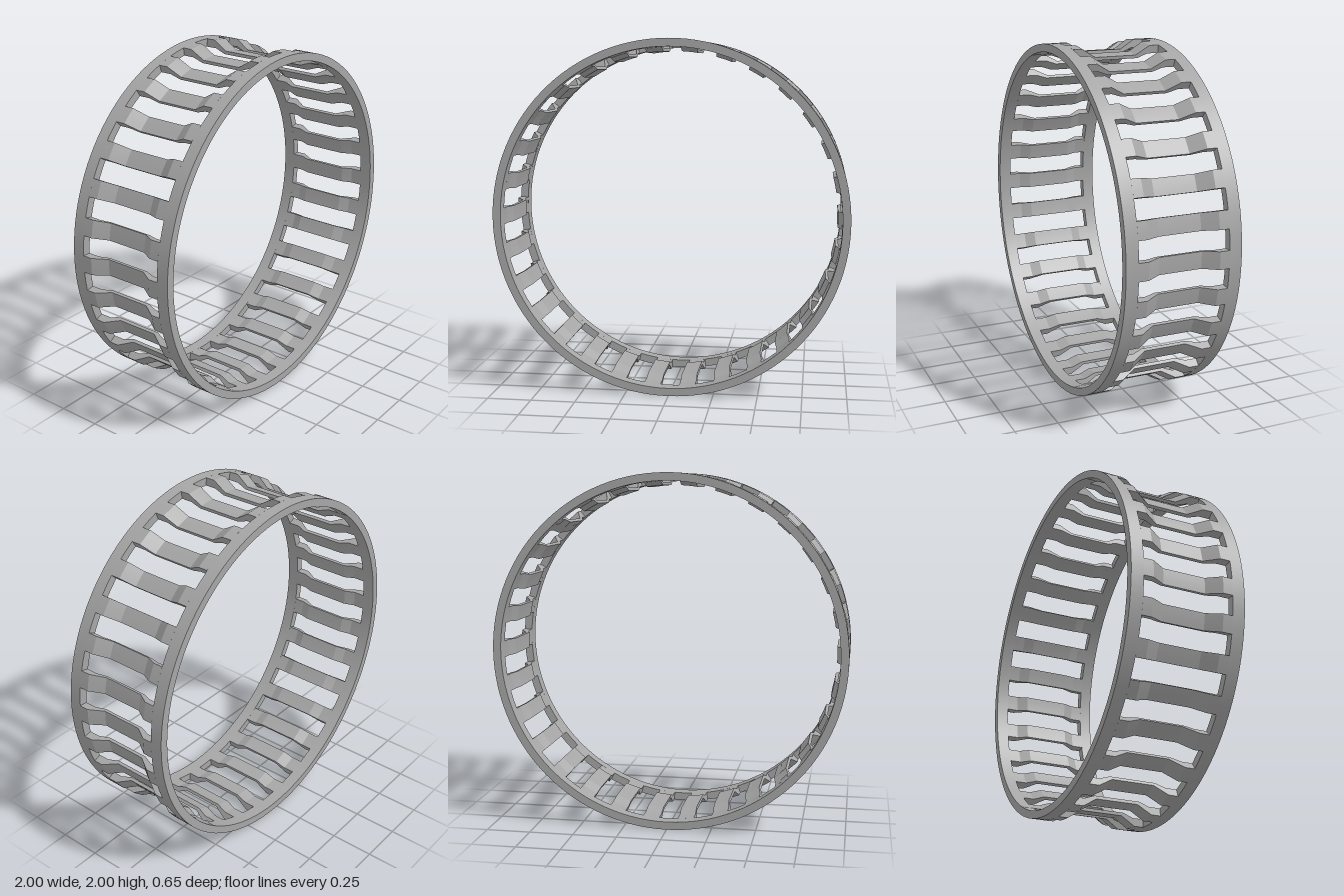
import * as THREE from 'three';
import { mergeGeometries, toCreasedNormals } from 'three/addons/utils/BufferGeometryUtils.js';

const BARS = 30;
const OUTER = 1, INNER = 0.955;       // end ring radii
const HALF = 0.325, POCKET = 0.255;   // half width of the cage and of its pockets
const BAR_ANGLE = THREE.MathUtils.degToRad(5.6);

const points = (list) => list.map(([r, y]) => new THREE.Vector2(r, y));

// Solid of revolution from a closed (radius, axial) outline
function ringGeometry(y0, y1) {
  const outline = points([[OUTER, y0], [OUTER, y1], [INNER, y1], [INNER, y0], [OUTER, y0]]);
  return toCreasedNormals(new THREE.LatheGeometry(outline, 120), 0.4);
}

// Dished bar: a short sweep of its outline, capped at both sides
function barGeometry() {
  const outer = [[OUTER, 0.2], [0.95, 0.12]];
  const inner = [[INNER, 0.19], [0.932, 0.13]];
  const profile = [
    [OUTER, -POCKET], ...outer.map(([r, y]) => [r, -y]),
    ...outer.slice().reverse(), [OUTER, POCKET],
    [INNER, POCKET], ...inner,
    ...inner.slice().reverse().map(([r, y]) => [r, -y]), [INNER, -POCKET],
  ];
  const half = BAR_ANGLE / 2;
  const sweep = new THREE.LatheGeometry(points([...profile, profile[0]]), 3, -half, BAR_ANGLE);
  const startCap = new THREE.ShapeGeometry(new THREE.Shape(points(profile)));
  startCap.rotateY(-half - Math.PI / 2);
  const endCap = new THREE.ShapeGeometry(new THREE.Shape(points(profile.map(([r, y]) => [-r, y]))));
  endCap.rotateY(half + Math.PI / 2);
  return toCreasedNormals(mergeGeometries([sweep, startCap, endCap]), 0.3);
}

export function createModel() {
  const steel = new THREE.MeshStandardMaterial({ color: 0xa6a6a6 });
  steel.name = 'steel grey';

  const model = new THREE.Group();
  model.name = 'rollerCage';
  const cage = new THREE.Group();
  cage.name = 'cage';
  cage.rotation.x = Math.PI / 2;   // axis along z
  cage.position.y = OUTER;
  model.add(cage);

  // End rings
  const addRing = (name, y0, y1) => {
    const ring = new THREE.Mesh(ringGeometry(y0, y1), steel);
    ring.name = name;
    cage.add(ring);
  };
  addRing('frontRing', POCKET, HALF);
  addRing('backRing', -HALF, -POCKET);

  // Bars between the pockets
  const barShape = barGeometry();
  for (let i = 0; i < BARS; i++) {
    const bar = new THREE.Mesh(barShape, steel);
    bar.name = `bar${i + 1}`;
    bar.rotation.y = Math.PI / 2 + (i / BARS) * Math.PI * 2;
    cage.add(bar);
  }
  return model;
}
